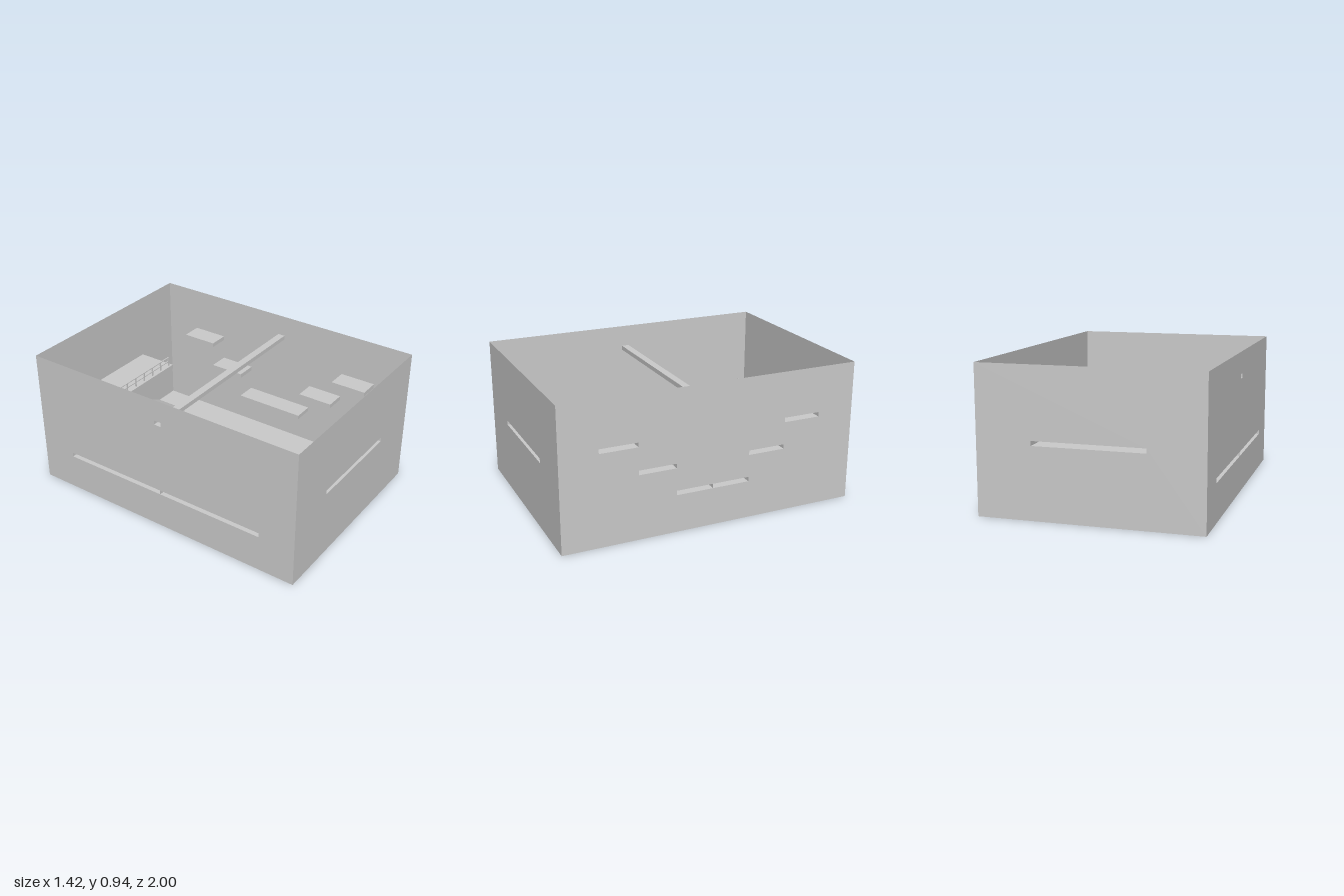
import * as THREE from 'three';

const W = 0.71, D = 1, H = 0.945, T = 0.03;
const mat = new THREE.MeshStandardMaterial({ color: 0xcccccc, flatShading: true, side: THREE.DoubleSide });

function add(parent, name, geometry) {
  const mesh = new THREE.Mesh(geometry, mat);
  mesh.name = name;
  parent.add(mesh);
  return mesh;
}

// Box from its limits; openFace (0..5 = +x -x +y -y +z -z) is left out
function box(x0, x1, y0, y1, z0, z1, openFace = -1) {
  const g = new THREE.BoxGeometry(x1 - x0, y1 - y0, z1 - z0);
  g.translate((x0 + x1) / 2, (y0 + y1) / 2, (z0 + z1) / 2);
  if (openFace >= 0) {
    const index = Array.from(g.index.array);
    index.splice(openFace * 6, 6);
    g.setIndex(index);
    g.clearGroups();
  }
  return g;
}

// Thin wall with rectangular slots given as [u0, u1, y0, y1]
function wall(half, slots) {
  const rect = (p, u0, u1, y0, y1) =>
    p.moveTo(u0, y0).lineTo(u1, y0).lineTo(u1, y1).lineTo(u0, y1).closePath();
  const shape = rect(new THREE.Shape(), -half, half, 0, H);
  for (const s of slots) shape.holes.push(rect(new THREE.Path(), ...s));
  return new THREE.ShapeGeometry(shape);
}

// Railing along x, centred on the origin, standing on y = 0
function railing(name, posts, step) {
  const g = new THREE.Group();
  g.name = name;
  const half = (posts - 1) * step / 2, r = 0.004;
  for (let i = 0; i < posts; i++) {
    const x = -half + i * step;
    add(g, 'railPost', box(x - r, x + r, -0.005, 0.066, -r, r));
  }
  for (const y of [0.034, 0.066]) add(g, 'handrail', box(-half - r, half + r, y - 0.003, y + 0.003, -r, r));
  return g;
}

// Floor grid with a ridge in the middle and a raised mound at each end
function floorGeometry() {
  const nx = 8, nz = 16, cx = 2 * W / nx;
  const g = new THREE.PlaneGeometry(2 * W, 2 * D, nx, nz).rotateX(-Math.PI / 2);
  const p = g.attributes.position, clamp = THREE.MathUtils.clamp;
  for (let i = 0; i < p.count; i++) {
    const x = p.getX(i), z = Math.abs(p.getZ(i));
    const ridge = clamp(1 - z / 0.25, 0, 1) * clamp(1.5 - Math.abs(x - cx / 2) / cx, 0, 1);
    const mound = clamp((z - 0.625) / 0.125, 0, 1) * clamp(3 - Math.abs(x) / cx, 0, 1);
    p.setY(i, 0.005 + 0.1 * ridge + 0.09 * mound);
  }
  // Turn the diagonals so the mound corners are chamfered alike
  const index = Array.from(g.index.array);
  for (let k = 0; k < nx * nz; k++) {
    const ix = k % nx, iz = Math.floor(k / nx);
    if ((ix < nx / 2) !== (iz < nz / 2)) continue;
    const [a, b, d, , c] = index.slice(k * 6, k * 6 + 6);
    index.splice(k * 6, 6, a, b, c, a, c, d);
  }
  g.setIndex(index);
  g.computeVertexNormals();
  return g;
}

export function createModel() {
  const model = new THREE.Group();
  model.name = 'arena';

  // Base and floor
  add(model, 'base', new THREE.PlaneGeometry(2 * W, 2 * D).rotateX(Math.PI / 2));
  add(model, 'floor', floorGeometry());

  // End walls, balconies and their railings
  for (const s of [-1, 1]) {
    const end = s > 0 ? 'front' : 'back';
    add(model, end + 'Wall', wall(W, [[-0.356, 0.356, 0.46, 0.49]])).position.z = s * D;
    const z0 = s > 0 ? 0.715 : -D, z1 = s > 0 ? D : -0.715;
    add(model, end + 'Balcony', box(-0.356, 0.356, 0.46, 0.49, z0, z1, s > 0 ? 4 : 5));
    const rail = railing(end + 'Railing', 8, 0.094);
    rail.position.set(0, 0.49, s * 0.733);
    model.add(rail);
  }

  // Left wall with stepped ledges
  const ledges = [];
  for (const s of [-1, 1]) {
    for (let i = 0; i < 3; i++) {
      const u = [s * i * 0.25, s * (i + 1) * 0.25].sort((a, b) => a - b);
      const y = 0.25 + i * 0.18;
      ledges.push([u[0], u[1], y, y + T]);
      add(model, 'ledge', box(0.57, W, y, y + T, u[0], u[1], 0));
    }
  }
  const leftSlots = ledges.filter(l => l[2] > 0.3).concat([[-0.25, 0.25, 0.25, 0.25 + T]]);
  add(model, 'leftWall', wall(D, leftSlots).rotateY(-Math.PI / 2)).position.x = W;

  // Right wall with the long gallery in two halves
  const rightSlots = [[-0.75, 0.75, 0.25, 0.25 + T], [-0.025, 0.025, 0.768, 0.798]];
  add(model, 'rightWall', wall(D, rightSlots).rotateY(-Math.PI / 2)).position.x = -W;
  for (const z of [-0.75, 0]) add(model, 'gallery', box(-W, -0.435, 0.25, 0.25 + T, z, z + 0.75, 1));
  const rail = railing('galleryRailing', 16, 0.0938);
  rail.rotation.y = Math.PI / 2;
  rail.position.set(-0.441, 0.25 + T, 0);
  model.add(rail);

  // Beam across the middle
  add(model, 'crossBeam', box(-W, W, 0.768, 0.798, -0.025, 0.025, 1));

  return model;
}
